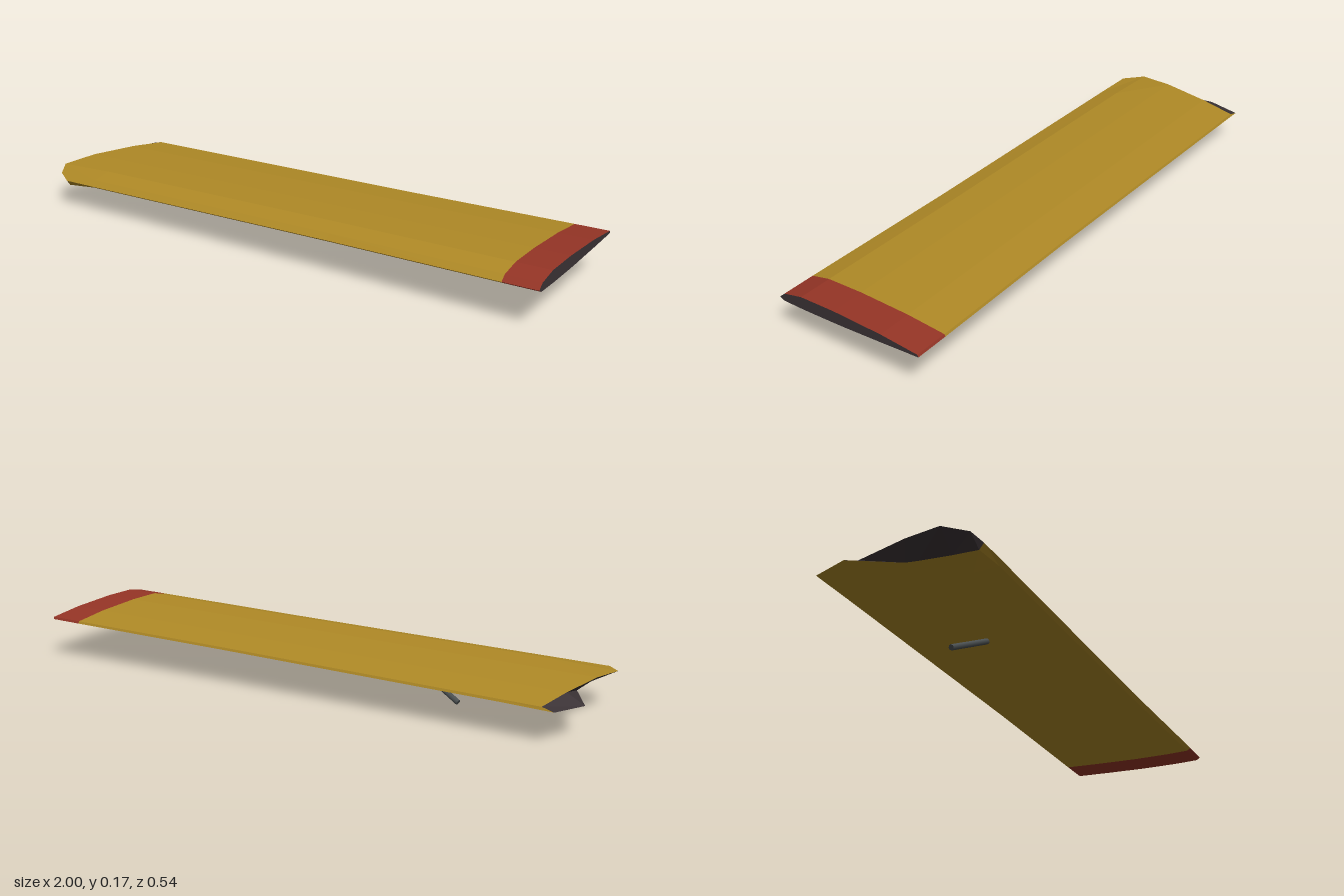
import * as THREE from 'three';

// Section at the squared tip: [z, y, x of the torn root edge]
// Upper skin from trailing to leading edge, then lower skin back again.
const SECTION = [
  [-0.265, 0.155, -0.91], [-0.13, 0.168, -0.938], [0.05, 0.175, -0.974],
  [0.18, 0.173, -1.0], [0.25, 0.158, -0.95], [0.27, 0.14, -0.905],
  [0.255, 0.131, -0.905], [0.17, 0.13, -0.907], [0.06, 0.132, -0.91],
  [0.02, 0.133, -0.92], [-0.137, 0.14, -1.0], [-0.268, 0.147, -0.95],
];
const N = SECTION.length;

// One cross-section; the wing rises gently toward the tip
function ring(x, waist = 1) {
  return SECTION.map(([z, y]) =>
    new THREE.Vector3(x, y - 0.0175 * (1 - x), z * waist));
}

// Ragged root section, with the lower leading edge bent down
function rootRing() {
  return SECTION.map(([z, y, x], i) => {
    const droop = i === 6 ? 0.011 : i === 7 ? 0.006 : i === 3 ? 0.006 : i > 8 ? 0.002 : 0;
    return new THREE.Vector3(x, y - 0.0175 * (1 - x) - droop, z);
  });
}

// Faceted geometry from a list of four-cornered faces
function quads(list) {
  const points = [];
  for (const [a, b, c, d] of list) points.push(a, b, c, a, c, d);
  const geometry = new THREE.BufferGeometry().setFromPoints(points);
  geometry.computeVertexNormals();
  return geometry;
}

// Skin stretched over successive rings
function skin(rings) {
  const faces = [];
  for (let r = 0; r < rings.length - 1; r++) {
    const a = rings[r], b = rings[r + 1];
    for (let i = 0; i < N; i++) {
      const j = (i + 1) % N;
      faces.push([a[i], a[j], b[j], b[i]]);
    }
  }
  return quads(faces);
}

// End face joining upper and lower skin
function cap(points, facesTip) {
  const faces = [];
  for (let i = 0; i < N / 2 - 1; i++) {
    const face = [points[N - 1 - i], points[i], points[i + 1], points[N - 2 - i]];
    faces.push(facesTip ? face : face.reverse());
  }
  return quads(faces);
}

export function createModel() {
  const group = new THREE.Group();
  group.name = 'brokenWing';
  const material = (name, color) => {
    const m = new THREE.MeshStandardMaterial({ color });
    m.name = name;
    return m;
  };
  const yellow = material('yellowPaint', 0xb08a26);
  const red = material('redPaint', 0x963526);
  const dark = material('darkInterior', 0x3b3336);
  const metal = material('greyMetal', 0x4a4f50);

  const add = (name, geometry, mat) => {
    const mesh = new THREE.Mesh(geometry, mat);
    mesh.name = name;
    group.add(mesh);
    return mesh;
  };

  // Wing panel and coloured tip band
  const root = rootRing();
  const band = ring(0.875);
  const tip = ring(0.995);
  add('wingPanel', skin([root, ring(-0.78), ring(0.25, 0.98), band]), yellow);
  add('tipBand', skin([band, tip]), red);

  // Dark ends
  add('tipEnd', cap(tip, true), dark);
  add('tornRootEnd', cap(root, false), dark);

  // Slanted strut stub under the wing
  const from = new THREE.Vector3(-0.54, 0.01, -0.036);
  const to = new THREE.Vector3(-0.37, 0.102, 0);
  const axis = to.clone().sub(from);
  const strut = add('strut',
    new THREE.CylinderGeometry(0.01, 0.01, axis.length(), 8), metal);
  strut.position.copy(from).add(to).multiplyScalar(0.5);
  strut.quaternion.setFromUnitVectors(new THREE.Vector3(0, 1, 0), axis.normalize());

  return group;
}
